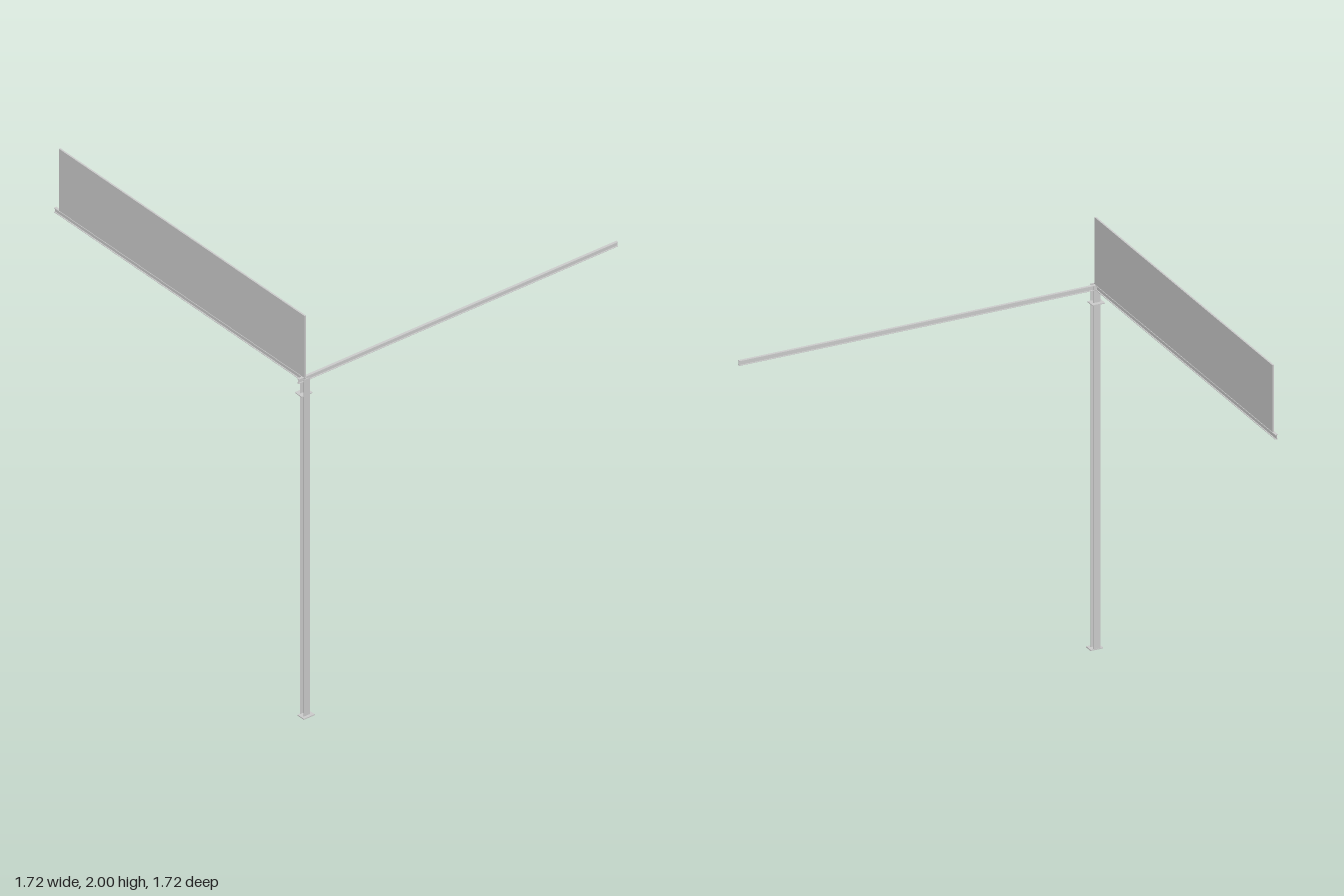
import * as THREE from 'three';

const material = new THREE.MeshStandardMaterial({ color: 0xcccccc, side: THREE.DoubleSide });

// I-section outline: w across the flanges, h over both flanges, t thickness
function iSection(w, h, t) {
  const a = w / 2, b = h / 2, s = t / 2;
  const right = [[a, -b], [a, -b + t], [s, -b + t], [s, b - t], [a, b - t], [a, b]];
  const left = right.map(([x, y]) => [-x, y]).reverse();
  return new THREE.Shape([...right, ...left].map(([x, y]) => new THREE.Vector2(x, y)));
}

function createSection(name, w, h, t, length) {
  const geometry = new THREE.ExtrudeGeometry(iSection(w, h, t), { depth: length, bevelEnabled: false });
  geometry.translate(0, 0, -length / 2);
  const mesh = new THREE.Mesh(geometry, material);
  mesh.name = name;
  return mesh;
}

// Box given by its lower and upper corners
function createBox(name, min, max) {
  const size = max.map((v, i) => v - min[i]);
  const mesh = new THREE.Mesh(new THREE.BoxGeometry(...size), material);
  mesh.position.set(...max.map((v, i) => (v + min[i]) / 2));
  mesh.name = name;
  return mesh;
}

export function createModel() {
  const model = new THREE.Group();
  model.name = 'cornerFrame';

  // Upright column, flanges facing front and back
  const column = createSection('column', 0.033, 0.028, 0.003, 1.69);
  column.rotation.x = -Math.PI / 2;
  column.position.set(-0.829, 0.845, 0.831);
  model.add(column);

  // Plates at the foot and near the head of the column
  model.add(createBox('basePlate', [-0.857, 0, 0.816], [-0.798, 0.005, 0.859]));
  model.add(createBox('headPlate', [-0.857, 1.607, 0.798], [-0.798, 1.611, 0.845]));

  // Beam running sideways
  const crossBeam = createSection('crossBeam', 0.013, 0.022, 0.002, 1.717);
  crossBeam.rotation.y = Math.PI / 2;
  crossBeam.position.set(-0.001, 1.679, 0.823);
  model.add(crossBeam);

  // Beam running backwards under the panel
  const sideBeam = createSection('sideBeam', 0.013, 0.022, 0.002, 1.69);
  sideBeam.position.set(-0.829, 1.679, -0.013);
  model.add(sideBeam);

  // Upright panel standing on the side beam
  model.add(createBox('panel', [-0.833, 1.69, -0.827], [-0.825, 2, 0.832]));

  return model;
}
